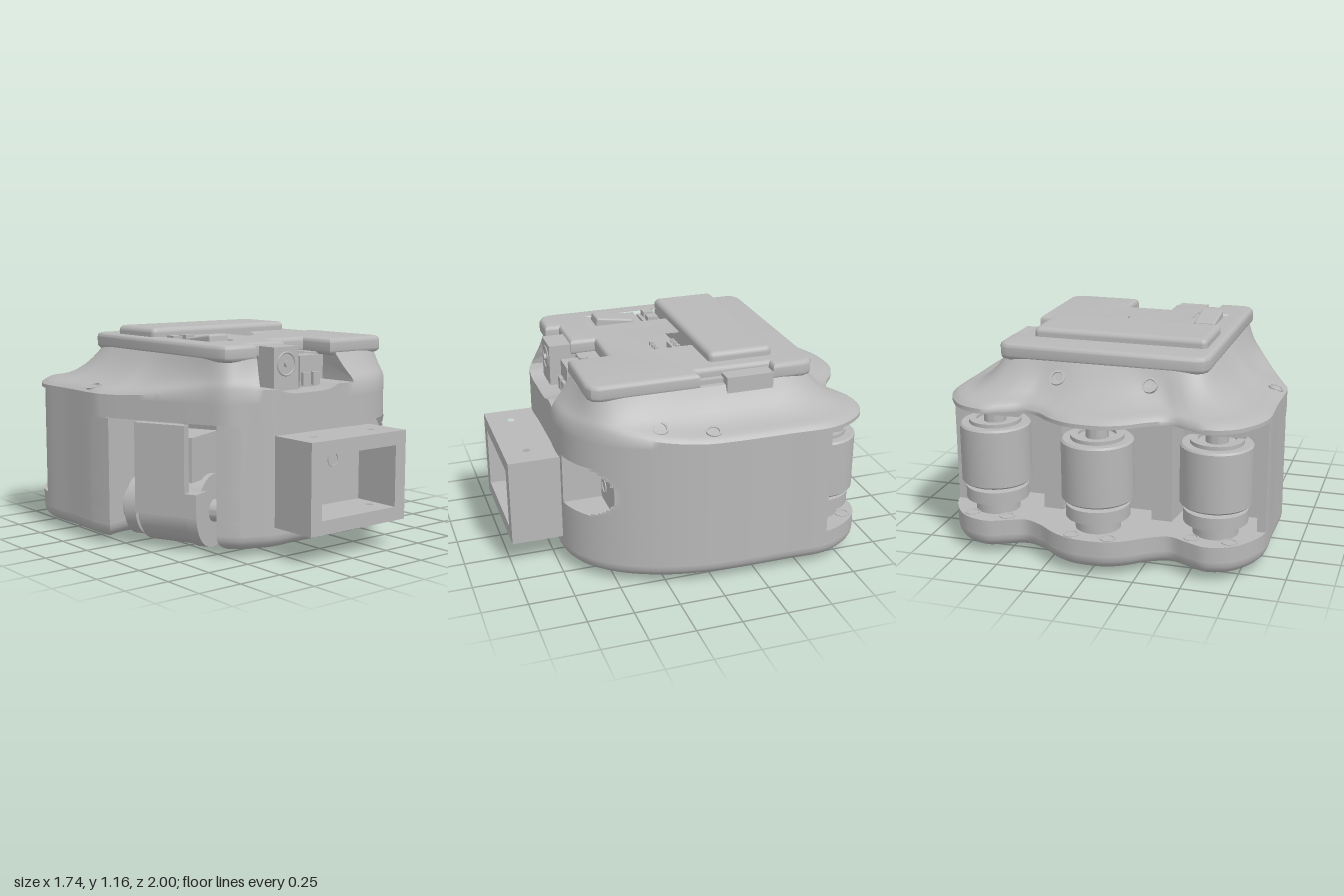
import * as THREE from 'three';
import { toCreasedNormals } from 'three/addons/utils/BufferGeometryUtils.js';
import { RoundedBoxGeometry } from 'three/addons/geometries/RoundedBoxGeometry.js';

const grey = new THREE.MeshStandardMaterial({ color: 0xb8b8b8 });
grey.name = 'plain grey';

const V = (x, z) => new THREE.Vector2(x, z);

function add(parent, name, geo, x = 0, y = 0, z = 0) {
  const m = new THREE.Mesh(geo, grey);
  m.name = name;
  m.position.set(x, y, z);
  parent.add(m);
  return m;
}
// box given by its limits
function box(parent, name, x0, x1, y0, y1, z0, z1, r = 0) {
  const s = [x1 - x0, y1 - y0, z1 - z0];
  const geo = r ? new RoundedBoxGeometry(...s, 4, r) : new THREE.BoxGeometry(...s);
  return add(parent, name, geo, (x0 + x1) / 2, (y0 + y1) / 2, (z0 + z1) / 2);
}
// upright prism over a plan given as (x, z) points, optionally with rounded edges
function prism(pts, y0, y1, bevel = 0, holes = []) {
  const flip = (list) => list.map((p) => V(p.x, -p.y));
  const shape = new THREE.Shape(flip(pts));
  for (const h of holes) shape.holes.push(new THREE.Path(flip(h)));
  const geo = new THREE.ExtrudeGeometry(shape, {
    depth: y1 - y0 - 2 * bevel, bevelEnabled: bevel > 0, bevelThickness: bevel,
    bevelSize: bevel, bevelOffset: -bevel, bevelSegments: 5,
  });
  geo.rotateX(-Math.PI / 2).translate(0, y0 + bevel, 0);
  return toCreasedNormals(geo, 0.6);
}
const plan = (...xz) => xz.map(([x, z]) => V(x, z));
const circle = (cx, cz, r) => Array.from({ length: 20 }, (_, i) =>
  V(cx + r * Math.cos(i * Math.PI / 10), cz + r * Math.sin(i * Math.PI / 10)));

// plan outline: back centre, then round by +x, the front and -x
const outline = new THREE.CatmullRomCurve3([
  [0, -1], [0.1, -0.99], [0.2, -0.945], [0.3, -0.87], [0.4, -0.83], [0.5, -0.87], [0.6, -0.905], [0.72, -0.87],
  [0.8, -0.79], [0.864, -0.65], [0.866, -0.4], [0.863, -0.1], [0.845, 0.1], [0.8, 0.29], [0.72, 0.47],
  [0.62, 0.6], [0.51, 0.68], [0.38, 0.72], [0.15, 0.72], [-0.1, 0.72], [-0.3, 0.72], [-0.42, 0.67], [-0.53, 0.61],
  [-0.6, 0.49], [-0.71, 0.26], [-0.85, -0.05], [-0.866, -0.1], [-0.866, -0.4], [-0.864, -0.65], [-0.8, -0.79],
  [-0.72, -0.87], [-0.6, -0.905], [-0.5, -0.87], [-0.4, -0.83], [-0.3, -0.87], [-0.2, -0.945], [-0.1, -0.99],
].map(([x, z]) => new THREE.Vector3(x, 0, z)), true).getSpacedPoints(260).slice(0, 260).map((p) => V(p.x, p.z));

// swap the run of points that pass the test for other points
function carve(pts, test, insert) {
  const at = pts.findIndex(test);
  const out = [];
  pts.forEach((p, i) => {
    if (i === at) out.push(...insert);
    if (!test(p)) out.push(p);
  });
  return out;
}
const sideNotch = (pts) => carve(pts, (p) => p.x < -0.45 && p.y > -0.13 && p.y < 0.64,
  plan([-0.555, 0.56], [-0.5, 0.5], [-0.2, 0.42], [-0.2, -0.22], [-0.845, -0.01]));
function pocket(pts, xe) {
  const test = (p) => p.x > 0.41 && p.x < xe && p.y > 0.48;
  const zEnd = Math.max(0.505, pts.find(test).y);
  return carve(pts, test, plan([xe, zEnd], [xe, 0.5], [0.41, 0.5], [0.41, 0.715]));
}
// body plan with three motor bays at the back
const backHalf = [[0.866, -0.64], [0.82, -0.64], [0.8, -0.46], [0.38, -0.46], [0.36, -0.64], [0.25, -0.64], [0.22, -0.52]];
const bodyPlan = [
  ...outline.filter((p) => p.y > -0.635),
  ...plan(...backHalf.map(([x, z]) => [-x, z])),
  ...plan(...backHalf.slice().reverse()),
];

// upper shell: sweeps from the outline up to a rounded square, with a half-round scoop for the sockets
function shellGeometry() {
  const cx = 0.035, cz = -0.015, n = outline.length;
  const inner = outline.map((p) => {
    const a = Math.atan2(p.y - cz, p.x - cx);
    const r = (Math.abs(Math.cos(a) / 0.575) ** 9 + Math.abs(Math.sin(a) / 0.625) ** 9) ** (-1 / 9);
    return V(cx + r * Math.cos(a), cz + r * Math.sin(a));
  });
  const steps = [-1, 0, 0.001, 0.05, 0.12, 0.25, 0.4, 0.55, 0.7, 0.82, 0.92, 1];
  const pos = [], idx = [];
  for (const s of steps) {
    const t = Math.max(s, 0);
    outline.forEach((p, i) => {
      const q = p.clone().lerp(inner[i], t);
      const front = THREE.MathUtils.smoothstep(p.y, 0, 0.65);
      const rim = 0.826 + 0.055 * front;
      const lip = 0.13 * Math.sin(Math.min(t / 0.16, 1) * Math.PI / 2);
      const rise = lip + (1 - 0.13) * t ** (2.6 - 1.3 * front);
      let y = s < 0 ? 0.805 : rim + (1.035 - rim) * rise;
      const scoop = p.y > 0.66 && p.x > -0.37 && p.x < 0.25;
      if (scoop && s >= 0) {
        const floor = 0.85 + 0.13 * Math.min(Math.abs(p.x + 0.06) / 0.3, 1) ** 4;
        y = s < 0.002 ? Math.min(floor, y) : Math.max(floor, y);
      }
      pos.push(scoop && s > 0 ? p.x : q.x, y, scoop && s > 0 ? Math.min(q.y, 0.5) : q.y);
    });
  }
  for (let j = 0; j < steps.length - 1; j++) for (let i = 0; i < n; i++) {
    const a = j * n + i, b = j * n + (i + 1) % n;
    idx.push(a, a + n, b, b, a + n, b + n);
  }
  const top = (steps.length - 1) * n, c = pos.length / 3;
  pos.push(cx, 0.805, cz, cx, 1.035, cz);
  for (let i = 0; i < n; i++) {
    const k = (i + 1) % n;
    idx.push(c, i, k, c + 1, top + k, top + i);
  }
  const geo = new THREE.BufferGeometry();
  geo.setAttribute('position', new THREE.Float32BufferAttribute(pos, 3));
  geo.setIndex(idx);
  return toCreasedNormals(geo, 0.7);
}

// turned motor standing on y = 0
const motorGeo = toCreasedNormals(new THREE.LatheGeometry(plan(
  [0, 0], [0.12, 0], [0.12, 0.06], [0.17, 0.07], [0.17, 0.14], [0.13, 0.145], [0.13, 0.165], [0.18, 0.165],
  [0.19, 0.175], [0.19, 0.485], [0.18, 0.495], [0.14, 0.495], [0.14, 0.515], [0.1, 0.515], [0.1, 0.5],
  [0.06, 0.5], [0.06, 0.6], [0, 0.6],
), 40), 0.6);

// counterbored screw seat
const screwGeo = toCreasedNormals(new THREE.LatheGeometry(plan(
  [0.042, -0.05], [0.042, 0], [0.032, 0], [0.03, -0.01], [0.014, -0.01], [0.012, -0.03], [0, -0.03]), 20), 0.5);

export function createModel() {
  const g = new THREE.Group();
  g.name = 'motorHousing';

  // base tray
  const basePlan = sideNotch(outline);
  add(g, 'baseRoundedEdge', prism(basePlan, 0.036, 0.196, 0.075));
  add(g, 'baseRim', prism(basePlan, 0.115, 0.2));

  // body walls, in layers round the front pocket
  const notched = sideNotch(bodyPlan);
  add(g, 'lowerBody', prism(notched, 0.2, 0.38));
  const layers = 20, step = 0.28 / layers;
  for (let i = 0; i < layers; i++) {
    const y = 0.38 + i * step, d = (y + step / 2 - 0.52) / 0.14;
    add(g, 'pocketBody', prism(pocket(notched, 0.565 + 0.14 * Math.sqrt(1 - d * d)), y, y + step));
  }
  add(g, 'upperBody', prism(notched, 0.66, 0.7));
  add(g, 'bodyTop', prism(bodyPlan, 0.7, 0.81));
  add(g, 'upperShell', shellGeometry());

  // motors and their mounts at the back
  for (const [x, z] of [[-0.61, -0.69], [0, -0.79], [0.61, -0.69]]) {
    add(g, 'backMotor', motorGeo, x, 0.2, z);
    box(g, 'motorMount', x - 0.16, x + 0.16, 0.745, 0.81, -0.75, -0.5);
    for (const s of [-1, 1]) add(g, 'baseScrew', screwGeo, x + s * 0.1, 0.204, z - 0.15 + (x ? 0.03 : 0));
  }

  // motor lying in the side notch
  const side = new THREE.Group();
  side.name = 'sideMotor';
  side.position.set(-0.52, 0.2, 0.13);
  side.rotation.y = Math.atan2(0.42, 0.9);
  add(side, 'sideMotorBody', motorGeo, 0, 0, -0.28).rotation.x = Math.PI / 2;
  add(side, 'sideMotorDisc', new THREE.CylinderGeometry(0.2, 0.2, 0.06, 40), 0, 0, 0.22).rotation.x = Math.PI / 2;
  box(side, 'sideMountPlate', -0.24, -0.19, 0, 0.49, -0.1, 0.2);
  box(side, 'sideMountBlock', -0.19, 0.1, 0.18, 0.42, 0.02, 0.22);
  box(side, 'sideMountFoot', -0.24, -0.12, 0, 0.13, 0.12, 0.27);
  g.add(side);

  // hollow front bracket with through holes
  const holes = [circle(-0.16, 0.87, 0.02), circle(0.25, 0.87, 0.02)];
  const slab = plan([-0.295, 0.7], [0.385, 0.7], [0.385, 1], [-0.295, 1]);
  add(g, 'bracketTop', prism(slab, 0.565, 0.64, 0, holes));
  add(g, 'bracketBottom', prism(slab, 0.155, 0.23, 0, holes));
  box(g, 'bracketSide', -0.295, -0.22, 0.23, 0.565, 0.7, 1);
  box(g, 'bracketSide', 0.31, 0.385, 0.23, 0.565, 0.7, 1);
  for (const [x, y, z] of [[-0.13, 0.47, 0.725], [0.12, 0.47, 0.725], [0.47, 0.47, 0.505], [0.47, 0.57, 0.505]])
    add(g, 'frontScrew', screwGeo, x, y, z).rotation.x = Math.PI / 2;

  // lid with openings for the battery, switch and sockets
  const lid = plan([-0.48, -0.64], [0.55, -0.64], [0.59, -0.62], [0.61, -0.58], [0.61, -0.4], [0.545, -0.4], [0.545, 0.01],
    [0.61, 0.01], [0.61, 0.55], [0.59, 0.59], [0.55, 0.61], [0.19, 0.61], [0.19, 0.39], [-0.07, 0.39], [-0.07, 0.53],
    [-0.33, 0.53], [-0.33, 0.61], [-0.48, 0.61], [-0.52, 0.59], [-0.54, 0.55], [-0.54, -0.58], [-0.52, -0.62]);
  const opening = plan([-0.5, -0.47], [0.48, -0.47], [0.48, -0.07], [0.22, -0.07], [0.22, 0.16], [-0.04, 0.16],
    [-0.04, -0.07], [-0.23, -0.07], [-0.23, 0.37], [-0.46, 0.37], [-0.46, -0.07], [-0.5, -0.07]);
  add(g, 'lid', prism(lid, 1.02, 1.11, 0.025, [opening]));
  box(g, 'battery', -0.49, 0.47, 0.97, 1.16, -0.45, -0.09, 0.03);
  box(g, 'batteryClip', 0.54, 0.635, 0.97, 1.08, -0.39, -0.13);
  box(g, 'batteryClip', 0.5, 0.58, 1, 1.06, -0.13, 0);

  // rocker switch and pin block
  box(g, 'switchFrame', -0.45, -0.25, 1.03, 1.1, 0.05, 0.36);
  box(g, 'switchRocker', -0.41, -0.285, 1.075, 1.13, 0.1, 0.32, 0.012).rotation.x = -0.14;
  box(g, 'pinBlock', -0.44, -0.265, 1.03, 1.09, -0.07, 0.03);
  for (const x of [-0.395, -0.31]) box(g, 'pin', x - 0.03, x + 0.03, 1.08, 1.12, -0.05, 0.01);

  // lid sockets
  for (const z of [-0.035, 0.09]) {
    box(g, 'socket', 0, 0.19, 1.03, 1.07, z - 0.025, z + 0.025);
    for (let i = 0; i < 4; i++) box(g, 'socketPin', 0.02 + i * 0.045, 0.035 + i * 0.045, 1.06, 1.09, z - 0.01, z + 0.01);
  }

  // power jack and screw terminal in the front scoop
  box(g, 'powerJack', -0.245, -0.075, 0.86, 1.09, 0.5, 0.65);
  add(g, 'jackRing', new THREE.TorusGeometry(0.06, 0.006, 8, 32), -0.16, 1, 0.65);
  add(g, 'jackPin', new THREE.CylinderGeometry(0.018, 0.018, 0.02, 16), -0.16, 1, 0.655).rotation.x = Math.PI / 2;
  box(g, 'terminal', -0.02, 0.12, 0.86, 1.03, 0.43, 0.6);
  for (const x of [0.015, 0.085]) {
    box(g, 'terminalPort', x - 0.025, x + 0.025, 0.87, 0.94, 0.58, 0.62);
    add(g, 'terminalScrew', new THREE.CylinderGeometry(0.026, 0.026, 0.02, 20), x, 1.035, 0.48);
  }

  // screws lying on the slopes of the shell: position, then tilt about x and z
  for (const [x, y, z, tx, tz] of [[-0.25, 0.965, -0.69, -0.85, 0], [0.25, 0.965, -0.69, -0.85, 0],
    [-0.82, 0.858, -0.19, 0, 0.3], [0.79, 0.868, 0, 0, -0.25], [0.735, 0.898, 0.27, 0.1, -0.45]])
    add(g, 'shellScrew', screwGeo, x, y, z).rotation.set(tx, 0, tz);
  // screws under the base
  for (const [x, z] of [[-0.6, -0.4], [0, -0.45], [0.6, -0.4], [0.6, 0.25], [0.3, 0.55], [-0.3, 0.56]])
    add(g, 'underScrew', screwGeo, x, 0.034, z).rotation.x = Math.PI;

  return g;
}
